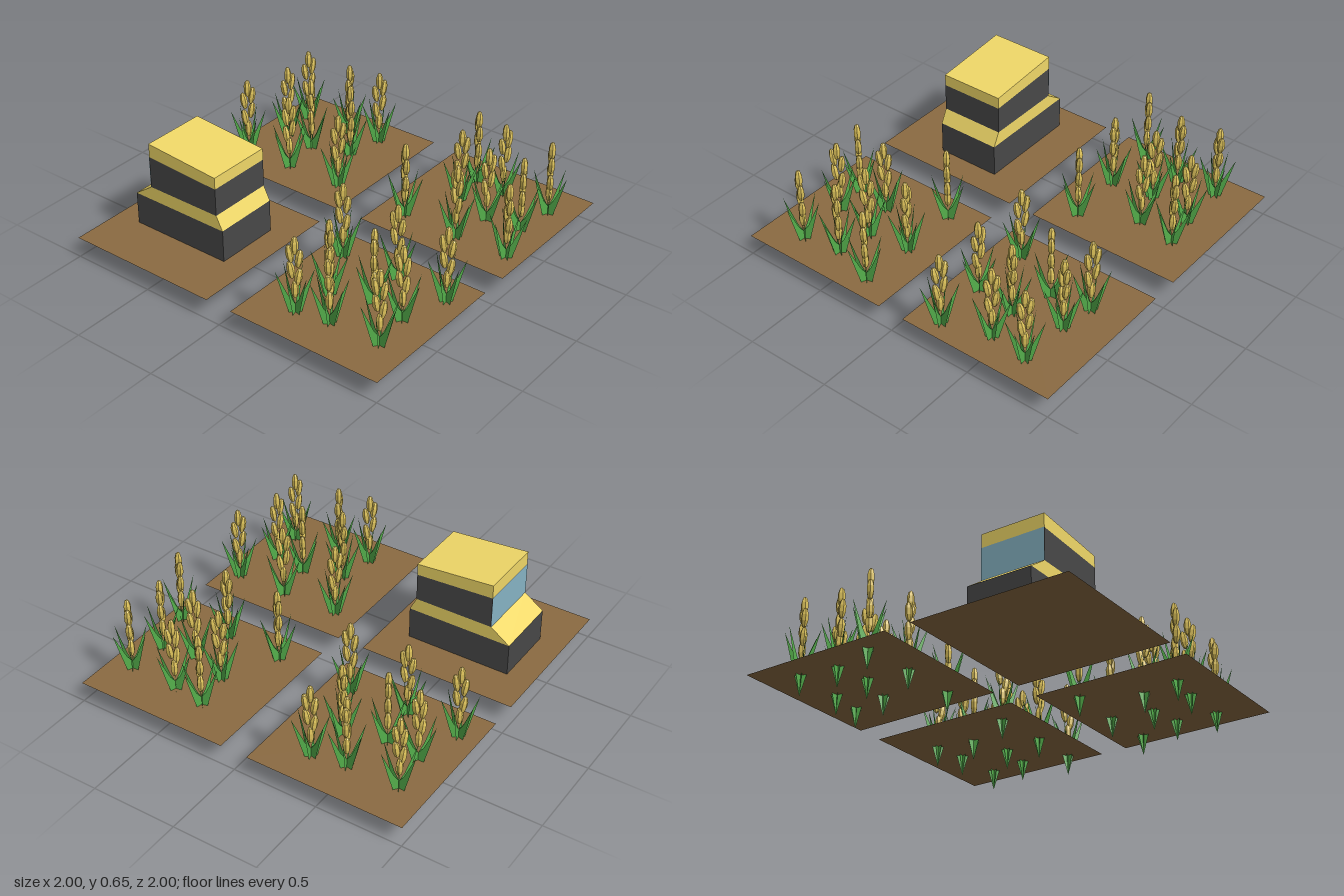
import * as THREE from 'three';
import { mergeGeometries } from 'three/addons/utils/BufferGeometryUtils.js';

const mat = (color, extra = {}) =>
  new THREE.MeshStandardMaterial({ color, flatShading: true, ...extra });
const GROUND = 0.12;

function add(parent, name, geometry, material) {
  const mesh = new THREE.Mesh(geometry, material);
  mesh.name = name;
  parent.add(mesh);
  return mesh;
}

// Side profile in x/y, extruded across the vehicle's width
function prism(points) {
  const shape = new THREE.Shape(points.map(([x, y]) => new THREE.Vector2(x, y)));
  const geo = new THREE.ExtrudeGeometry(shape, { depth: 0.38, bevelEnabled: false });
  return geo.translate(0, 0, 0.31);
}

// Crossed upright cards, each with two blades spreading from the root
function leafGeometry() {
  const half = [[0.055, 0.2], [0.1, 0.375], [0.028, 0.21]];
  const outline = [[0, 0], ...half, [0, 0.17], ...half.map(([x, y]) => [-x, y]).reverse()];
  const shape = new THREE.Shape(outline.map(([x, y]) => new THREE.Vector2(x, y)));
  const cards = [];
  for (let i = 0; i < 3; i++) {
    cards.push(new THREE.ShapeGeometry(shape).rotateY((i * Math.PI) / 3));
  }
  return mergeGeometries(cards);
}

// Stack of alternating faceted kernels
function headGeometry() {
  const kernels = [
    [0, 0.52, 0], [0.024, 0.475, 0.15], [-0.022, 0.44, -0.15],
    [0.02, 0.38, 0.15], [-0.018, 0.33, -0.15], [0, 0.26, 0],
  ];
  return mergeGeometries(kernels.map(([x, y, tilt]) =>
    new THREE.SphereGeometry(1, 6, 5).scale(0.021, 0.056, 0.021)
      .rotateZ(-tilt).translate(x, y, 0)));
}

export function createModel() {
  const model = new THREE.Group();
  model.name = 'farmField';

  const soil = mat(0x8b6b42, { side: THREE.DoubleSide });
  const green = mat(0x55b04c, { side: THREE.DoubleSide });
  const grain = mat(0xe0c55c);
  const yellow = mat(0xf0d868);
  const dark = mat(0x484848);
  const glass = mat(0x86b4c4, { side: THREE.DoubleSide });

  // Four thin soil plots
  for (const x of [-0.54, 0.54]) {
    for (const z of [-0.54, 0.54]) {
      const plot = add(model, 'soilPlot', new THREE.PlaneGeometry(0.92, 0.92).rotateX(-Math.PI / 2), soil);
      plot.position.set(x, GROUND, z);
    }
  }

  // Harvester: body, sloped deck, cab, window and tilted roof
  const harvester = new THREE.Group();
  harvester.name = 'harvester';
  model.add(harvester);
  const b = GROUND + 0.001;
  add(harvester, 'lowerBody', prism([[-0.85, b], [-0.235, b], [-0.235, 0.31], [-0.85, 0.31]]), dark);
  add(harvester, 'deck', prism([[-0.85, 0.31], [-0.235, 0.31], [-0.275, 0.39], [-0.735, 0.39]]), yellow);
  add(harvester, 'cab', prism([[-0.735, 0.39], [-0.275, 0.39], [-0.275, 0.55], [-0.735, 0.575]]), dark);
  add(harvester, 'roof', prism([[-0.735, 0.575], [-0.275, 0.55], [-0.275, 0.618], [-0.735, 0.655]]), yellow);
  const pane = add(harvester, 'window', new THREE.PlaneGeometry(0.38, 0.185).rotateY(-Math.PI / 2), glass);
  pane.position.set(-0.737, 0.4825, 0.5);

  // Planting pattern of one plot: x, z, turn in degrees
  const pattern = [
    [-0.84, -0.77, 55], [-0.54, -0.78, 110], [-0.345, -0.81, 45],
    [-0.81, -0.54, 60], [-0.61, -0.51, 120], [-0.385, -0.585, 145],
    [-0.89, -0.275, 40], [-0.575, -0.265, 15], [-0.23, -0.275, 40],
  ];
  const leaves = leafGeometry();
  const head = headGeometry();
  // The pattern is reflected into the other two planted plots
  const plots = [
    { sx: 1, sz: 1, dx: 0, dz: 0 },
    { sx: -1, sz: 1, dx: 0.015, dz: 0.02 },
    { sx: -1, sz: -1, dx: -0.005, dz: -0.01 },
  ];
  for (const { sx, sz, dx, dz } of plots) {
    for (const [x, z, deg] of pattern) {
      const plant = new THREE.Group();
      plant.name = 'cropPlant';
      plant.position.set(sx * x + dx, 0, sz * z + dz);
      const turn = THREE.MathUtils.degToRad(deg);
      plant.rotation.y = sx > 0 ? turn : sz > 0 ? Math.PI - turn : Math.PI + turn;
      add(plant, 'leaves', leaves, green);
      add(plant, 'grainHead', head, grain);
      model.add(plant);
    }
  }
  return model;
}
